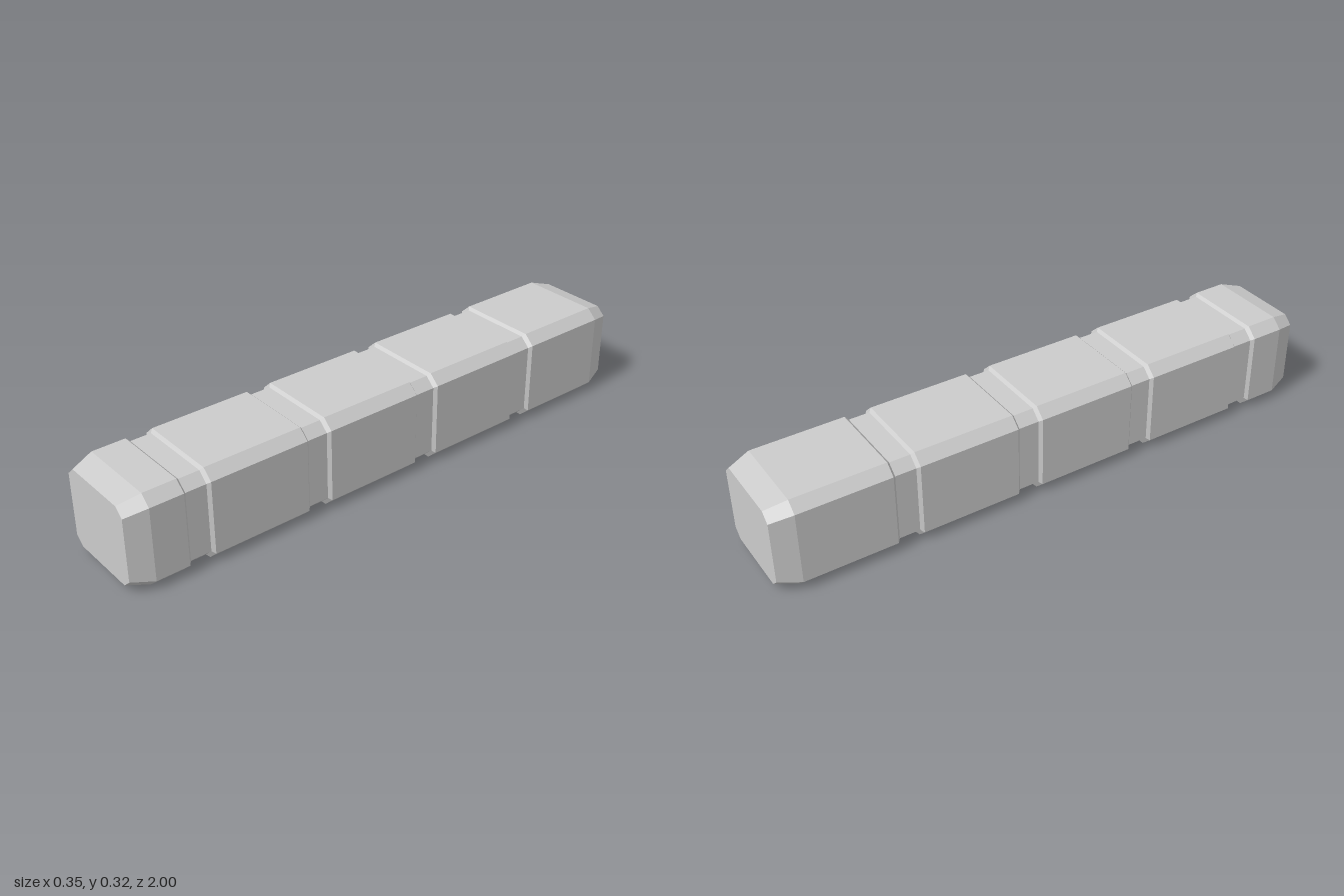
import * as THREE from 'three';

const MID_Y = 0.161;

// Chamfered rectangle, counter-clockwise seen from +z, relative to the bar's axis
const OUTLINE = [
  [0.177, -0.128], [0.177, 0.128], [0.141, 0.161], [-0.141, 0.161],
  [-0.177, 0.128], [-0.177, -0.128], [-0.141, -0.161], [0.141, -0.161],
];

// Skin a list of [z, scale] stations (back to front) and close both ends
function loftBar(stations) {
  const pos = [];
  const n = OUTLINE.length;
  const rings = stations.map(([z, s]) => OUTLINE.map(([x, y]) => [x * s, MID_Y + y * s, z]));
  const tri = (a, b, c) => pos.push(...a, ...b, ...c);
  for (let k = 0; k < rings.length - 1; k++) {
    const r0 = rings[k], r1 = rings[k + 1];
    for (let i = 0; i < n; i++) {
      const j = (i + 1) % n;
      tri(r0[i], r0[j], r1[j]);
      tri(r0[i], r1[j], r1[i]);
    }
  }
  const back = rings[0], front = rings[rings.length - 1];
  for (let i = 1; i < n - 1; i++) {
    tri(back[0], back[i + 1], back[i]);
    tri(front[0], front[i], front[i + 1]);
  }
  const geo = new THREE.BufferGeometry();
  geo.setAttribute('position', new THREE.Float32BufferAttribute(pos, 3));
  geo.computeVertexNormals();
  return geo;
}

export function createModel() {
  const group = new THREE.Group();
  group.name = 'groovedBar';

  // Tapered ends with four shallow grooves between them
  const stations = [[-1, 0.864], [-0.925, 1]];
  for (let i = 0; i < 4; i++) {
    const z = -0.559 + i * 0.441;
    stations.push([z - 0.046, 1], [z - 0.036, 0.94], [z + 0.036, 0.94], [z + 0.046, 1]);
  }
  stations.push([0.925, 1], [1, 0.864]);

  const bar = new THREE.Mesh(
    loftBar(stations),
    new THREE.MeshStandardMaterial({ color: 0xcccccc, flatShading: true }),
  );
  bar.name = 'bar';
  group.add(bar);
  return group;
}
